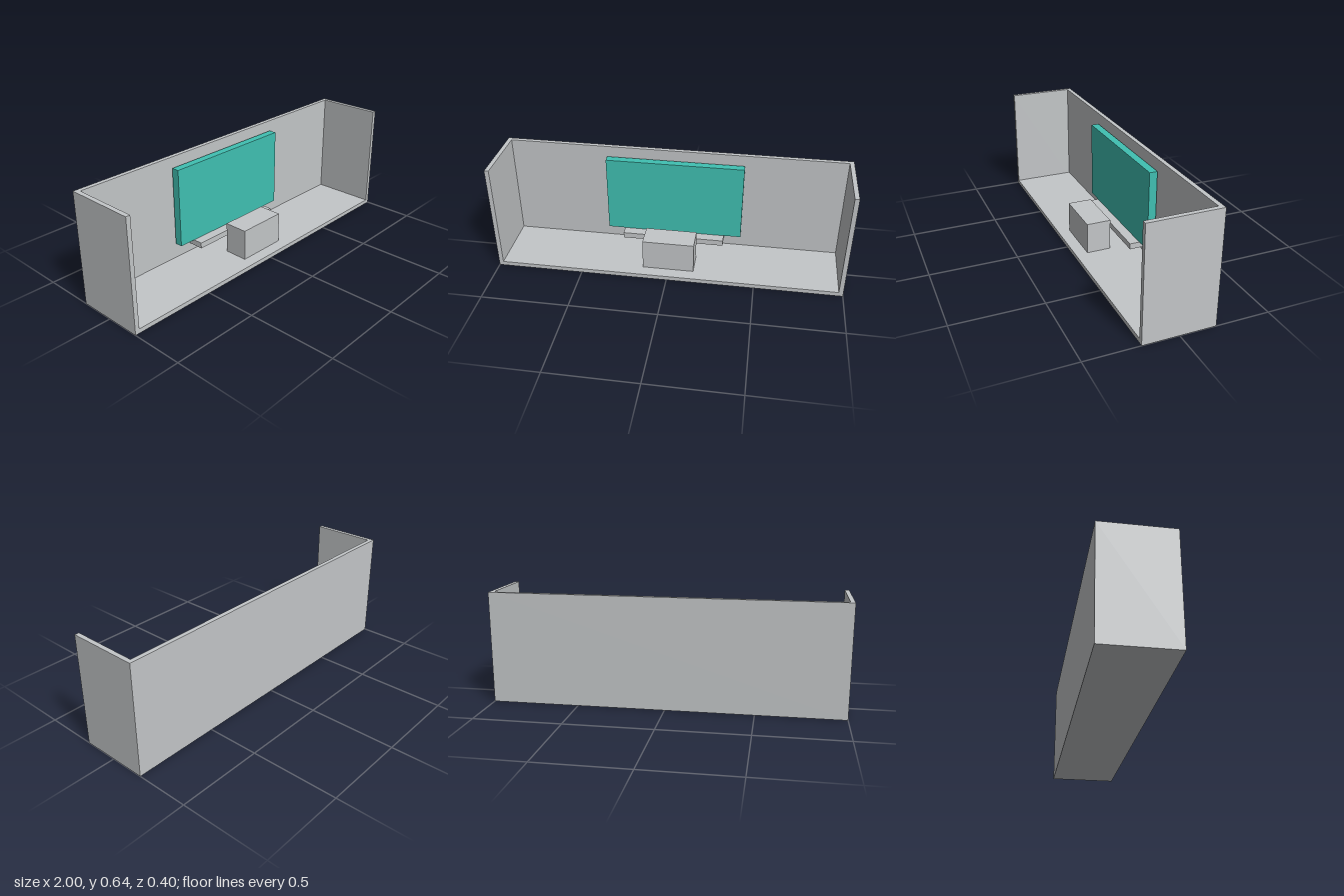
import * as THREE from 'three';

const shell = new THREE.MeshStandardMaterial({ color: 0xc3c6c8 });
shell.name = 'light grey';
const teal = new THREE.MeshStandardMaterial({ color: 0x40c0b2 });
teal.name = 'teal';

// Box given by its min and max corners
function block(name, material, [x0, y0, z0], [x1, y1, z1]) {
  const mesh = new THREE.Mesh(new THREE.BoxGeometry(x1 - x0, y1 - y0, z1 - z0), material);
  mesh.position.set((x0 + x1) / 2, (y0 + y1) / 2, (z0 + z1) / 2);
  mesh.name = name;
  return mesh;
}

// Open-fronted room: U-shaped walls in one piece, standing around the floor
function buildRoom() {
  const room = new THREE.Group();
  room.name = 'room';
  const height = 0.64, t = 0.025, inner = 1 - t;

  const plan = new THREE.Shape([
    [-1, -0.2], [-inner, -0.2], [-inner, 0.175], [inner, 0.175],
    [inner, -0.2], [1, -0.2], [1, 0.2], [-1, 0.2],
  ].map(([x, y]) => new THREE.Vector2(x, y)));
  const geometry = new THREE.ExtrudeGeometry(plan, { depth: height, bevelEnabled: false });
  geometry.rotateX(-Math.PI / 2);
  const walls = new THREE.Mesh(geometry, shell);
  walls.name = 'walls';

  room.add(walls, block('floor', shell, [-inner, 0, -0.175], [inner, t, 0.2]));
  return room;
}

export function createModel() {
  const model = new THREE.Group();
  model.name = 'displayRoom';
  model.add(
    buildRoom(),
    // Large panel on the back wall with its thin mount
    block('screen', teal, [-0.4, 0.12, -0.165], [0.4, 0.58, -0.12]),
    block('screenMount', shell, [-0.33, 0.18, -0.168], [0.33, 0.52, -0.165]),
    // Narrow shelf below the screen
    block('shelf', shell, [-0.3, 0.085, -0.157], [0.3, 0.119, -0.065]),
    // Counter standing on the floor
    block('counter', shell, [-0.148, 0.025, -0.01], [0.148, 0.205, 0.13]),
  );
  return model;
}
